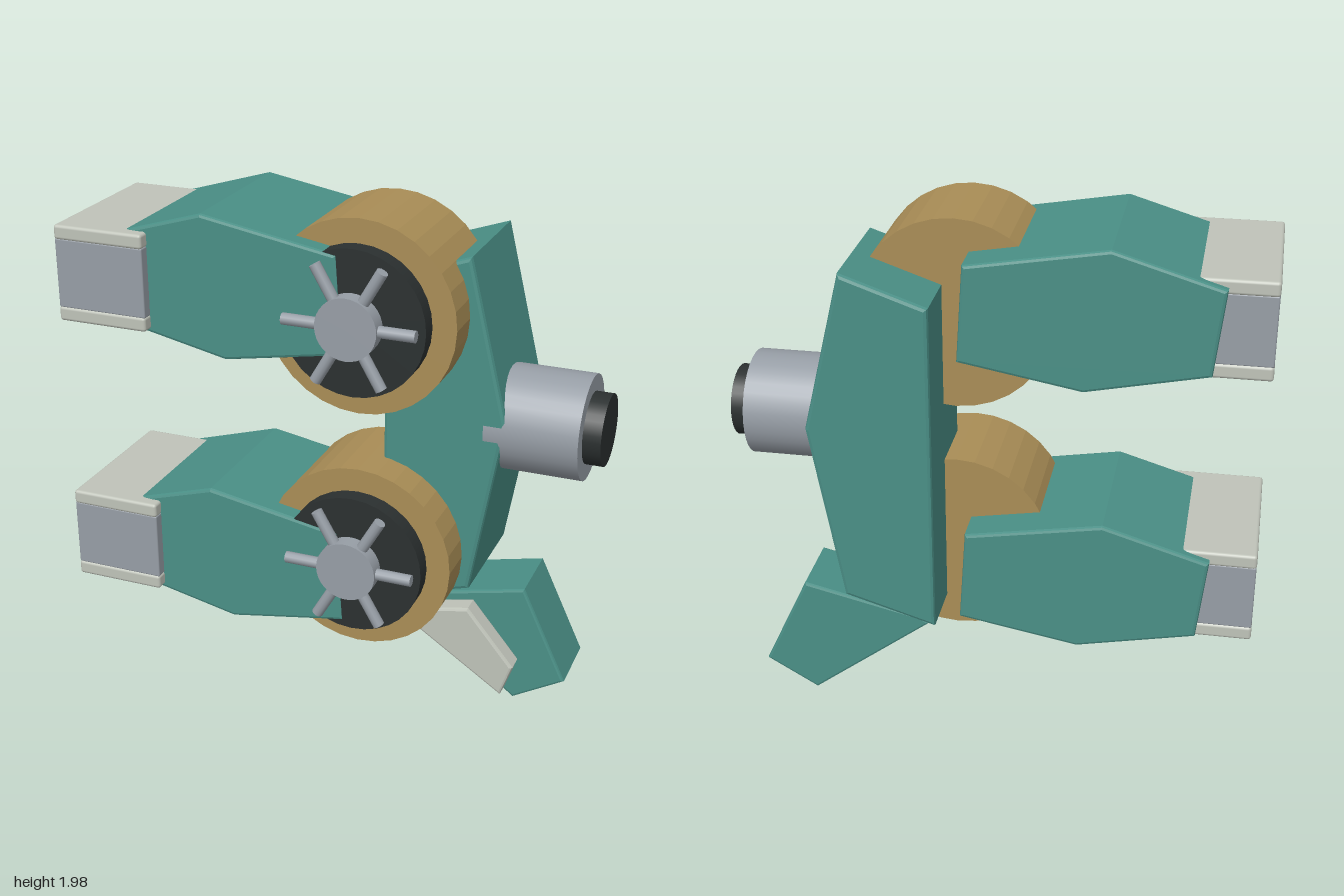
import * as THREE from 'three';
import { RoundedBoxGeometry } from 'three/addons/geometries/RoundedBoxGeometry.js';

const material = (name, color, flatShading = false) => {
  const m = new THREE.MeshStandardMaterial({ color, flatShading });
  m.name = name;
  return m;
};

export function createModel() {
  const teal = material('teal paint', 0x4a8f86);
  const gold = material('brass', 0xa98d56, true);
  const pale = material('pale grey', 0xbfc3b9);
  const steel = material('steel', 0x979ea6);
  const dark = material('dark rubber', 0x2b3030);

  const model = new THREE.Group();
  model.name = 'clampMechanism';

  const add = (parent, name, geometry, mat, x = 0, y = 0, z = 0) => {
    const mesh = new THREE.Mesh(geometry, mat);
    mesh.name = name;
    mesh.position.set(x, y, z);
    parent.add(mesh);
    return mesh;
  };

  // Bevelled plate from an outline in x and y, spanning z0 to z1
  const plate = (points, z0, z1, bevel) => {
    const shape = new THREE.Shape(points.map(([x, y]) => new THREE.Vector2(x, y)));
    const geometry = new THREE.ExtrudeGeometry(shape, {
      depth: z1 - z0 - 2 * bevel, bevelEnabled: true, bevelThickness: bevel,
      bevelSize: bevel, bevelOffset: -bevel, bevelSegments: 2,
    });
    return geometry.translate(0, 0, z0 + bevel);
  };

  // Cylinders along z and along x
  const discZ = (r, z0, z1, sides = 32) =>
    new THREE.CylinderGeometry(r, r, z1 - z0, sides).rotateX(Math.PI / 2).translate(0, 0, (z0 + z1) / 2);
  const discX = (r, x0, x1, sides = 32) =>
    new THREE.CylinderGeometry(r, r, x1 - x0, sides).rotateZ(-Math.PI / 2).translate((x0 + x1) / 2, 0, 0);

  // Arm outline, relative to the arm's base height
  const armOutline = [
    [-0.79, 0.095], [-0.34, 0], [0.118, 0.082], [0.095, 0.45], [-0.425, 0.54], [-0.825, 0.42],
  ];

  const makeArm = (name, y) => {
    const arm = new THREE.Group();
    arm.name = name;
    arm.position.y = y;
    add(arm, 'armShell', plate(armOutline, -0.295, 0.325, 0.012), teal);
    // Hollow rectangular tip: pale top and bottom, steel sides
    for (const [part, h] of [['tipBottom', 0.108], ['tipTop', 0.422]])
      add(arm, part, new RoundedBoxGeometry(0.36, 0.056, 0.63, 2, 0.012), pale, -0.82, h, 0.055);
    for (const [part, z] of [['tipFrontWall', 0.343], ['tipBackWall', -0.233]])
      add(arm, part, new RoundedBoxGeometry(0.358, 0.266, 0.046, 2, 0.006), steel, -0.82, 0.265, z);
    model.add(arm);
  };

  const makeWheel = (name, y) => {
    const wheel = new THREE.Group();
    wheel.name = name;
    wheel.position.set(0.152, y, 0);
    add(wheel, 'drum', discZ(0.365, -0.15, 0.253), gold);
    add(wheel, 'darkDisc', discZ(0.275, 0.25, 0.32), dark);
    add(wheel, 'hub', discZ(0.116, 0.3, 0.383), steel);
    // Six round spokes around the hub
    for (let i = 0; i < 6; i++) {
      const spoke = add(wheel, 'spoke', discX(0.022, 0.08, 0.25, 12), steel, 0, 0, 0.352);
      spoke.rotation.z = (i * Math.PI) / 3;
    }
    model.add(wheel);
  };

  makeArm('upperArm', 1.412);
  makeArm('lowerArm', 0.332);
  makeWheel('upperWheel', 1.617);
  makeWheel('lowerWheel', 0.661);

  // Angular frame joining both wheels
  add(model, 'frame', plate([
    [0.196, 0.42], [0.545, 0.525], [0.665, 1.225], [0.515, 1.84], [0.196, 1.73],
  ], -0.387, 0.107, 0.015), teal);

  // Side knob with a dark end
  add(model, 'knob', discX(0.2, 0.58, 0.932), steel, 0, 1.183, -0.09);
  add(model, 'knobCap', discX(0.136, 0.9, 1.0), dark, 0, 1.183, -0.09);

  // Lower fin and the thin pale blade in front of it
  add(model, 'fin', plate([
    [0.24, 0.365], [0.71, 0.003], [0.912, 0.122], [0.735, 0.498], [0.27, 0.39],
  ], -0.292, -0.012, 0.01), teal);
  add(model, 'blade', plate([
    [0.27, 0.37], [0.692, 0.09], [0.737, 0.22], [0.55, 0.445], [0.3, 0.392],
  ], 0.034, 0.118, 0.01), pale);

  return model;
}
